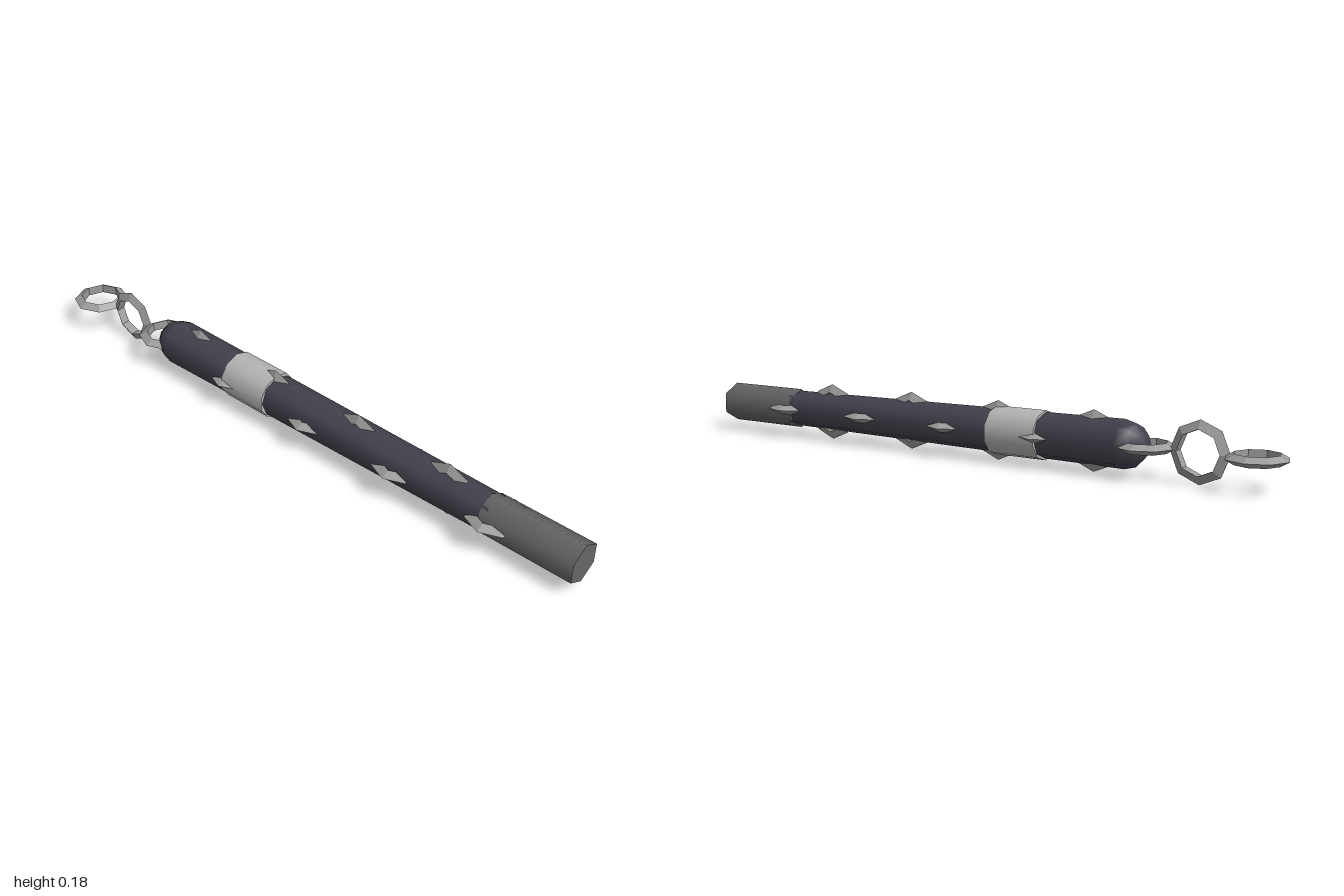
import * as THREE from 'three';

const AXIS_Y = 0.0905;

export function createModel() {
  const model = new THREE.Group();
  model.name = 'spikedClub';

  const mat = (name, color, flatShading = false) => {
    const m = new THREE.MeshStandardMaterial({ color, flatShading });
    m.name = name;
    return m;
  };
  const darkWood = mat('darkShaft', 0x42424e);
  const gripGrey = mat('gripGrey', 0x656568);
  const bandSteel = mat('bandSteel', 0xb6b6b4);
  const chainSteel = mat('chainSteel', 0x9c9c9a, true);

  const add = (name, geometry, material, z) => {
    const mesh = new THREE.Mesh(geometry, material);
    mesh.name = name;
    mesh.position.set(0, AXIS_Y, z);
    model.add(mesh);
    return mesh;
  };

  // Rod along z, between two z values with a radius at each
  const rod = (name, zFront, rFront, zBack, rBack, sides, material) =>
    add(name, new THREE.CylinderGeometry(rFront, rBack, zFront - zBack, sides).rotateX(Math.PI / 2),
      material, (zFront + zBack) / 2);

  rod('grip', 1, 0.0635, 0.7, 0.0635, 6, gripGrey);
  rod('shaft', 0.72, 0.058, -0.52, 0.071, 8, darkWood);
  rod('band', -0.09, 0.0735, -0.26, 0.0735, 10, bandSteel);

  // Rounded rear tip
  const dome = new THREE.SphereGeometry(0.071, 8, 3, 0, Math.PI * 2, 0, Math.PI / 2).rotateX(-Math.PI / 2);
  add('rearTip', dome, darkWood, -0.52);

  // Chain threaded through the shaft, links turned alternately flat and upright
  for (let i = 0; i < 11; i++) {
    const link = new THREE.TorusGeometry(0.0725, 0.017, 3, 8);
    if (i % 2 === 0) link.rotateX(Math.PI / 2);
    else link.rotateY(Math.PI / 2);
    add('chainLink' + (i + 1), link, chainSteel, -0.9105 + i * 0.1635);
  }

  return model;
}
